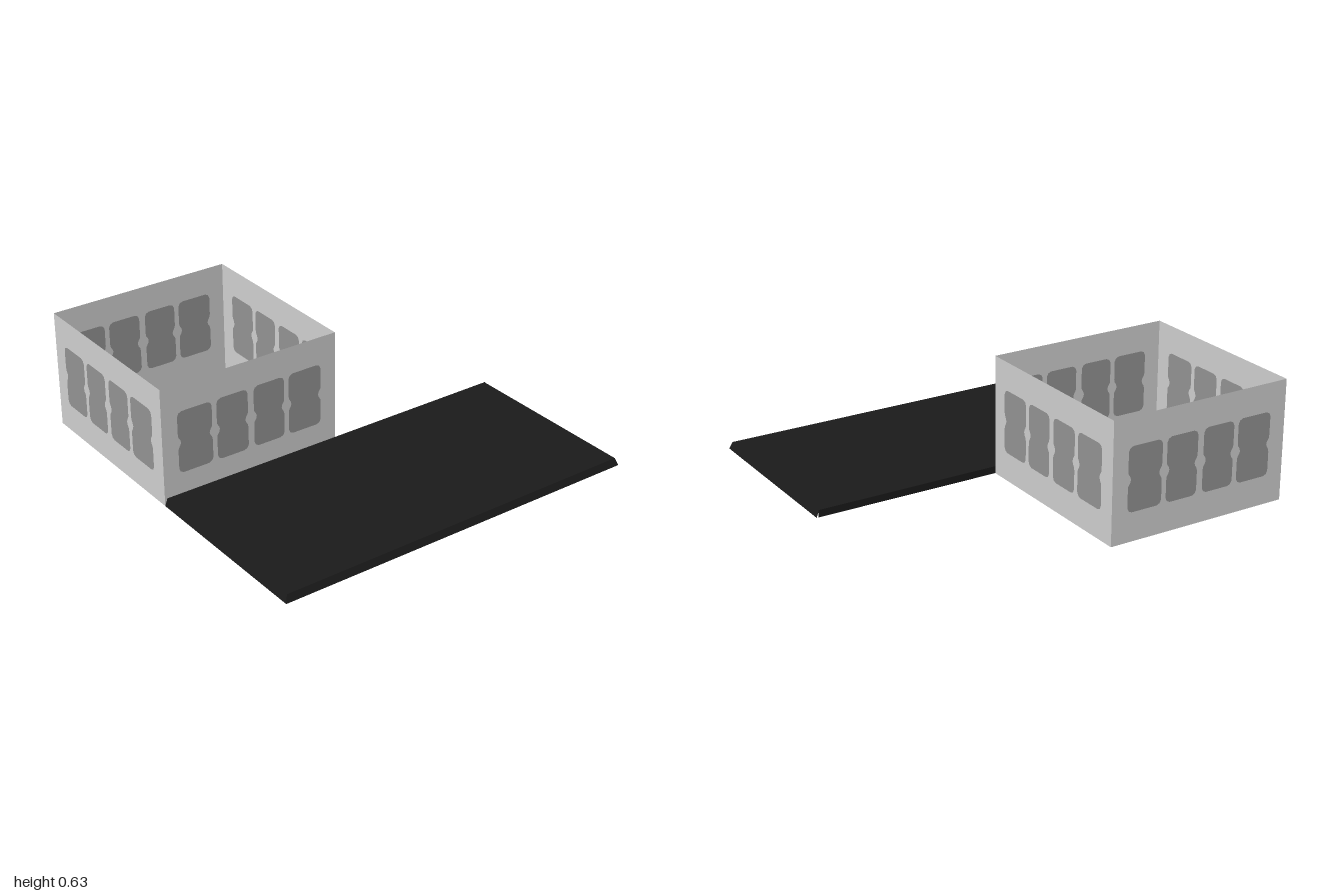
import * as THREE from 'three';

const WALL_H = 0.626, PANEL_Y = 0.314, SLAB_H = 0.038;

const wallGrey = new THREE.MeshStandardMaterial({ name: 'wall grey', color: 0xd4d4d4, side: THREE.DoubleSide });
const panelGrey = new THREE.MeshStandardMaterial({ name: 'panel grey', color: 0x979797, side: THREE.DoubleSide });
const slabBlack = new THREE.MeshStandardMaterial({ name: 'slab black', color: 0x1b1b1b, side: THREE.DoubleSide });

// Outline of one panel: rounded corners and a small notch at the waist of each side
function panelPoints(cx, halfWidth) {
  const w = halfWidth, h = 0.165;
  const quarter = [
    [w - 0.016, 0], [w - 0.012, 0.014], [w - 0.002, 0.03], [w, 0.045],
    [w, h - 0.025], [w - 0.008, h - 0.008], [w - 0.025, h],
  ];
  const half = [...quarter, ...quarter.map(([x, y]) => [-x, y]).reverse()];
  const lower = half.slice(1, -1).map(([x, y]) => [x, -y]).reverse();
  return [...half, ...lower].map(([x, y]) => new THREE.Vector2(cx + x, PANEL_Y + y));
}

// One sheet wall with four flush panels set into it
function makeWall(name) {
  const wall = new THREE.Group();
  wall.name = name;
  const sheet = new THREE.Shape([[-0.5, 0], [0.5, 0], [0.5, WALL_H], [-0.5, WALL_H]]
    .map(([x, y]) => new THREE.Vector2(x, y)));
  for (const [cx, halfWidth] of [[-0.317, 0.096], [-0.106, 0.089], [0.106, 0.089], [0.317, 0.096]]) {
    const points = panelPoints(cx, halfWidth);
    sheet.holes.push(new THREE.Path(points));
    const panel = new THREE.Mesh(new THREE.ShapeGeometry(new THREE.Shape(points)), panelGrey);
    panel.name = 'wallPanel';
    wall.add(panel);
  }
  const mesh = new THREE.Mesh(new THREE.ShapeGeometry(sheet), wallGrey);
  mesh.name = 'wallSheet';
  wall.add(mesh);
  return wall;
}

// Low slab: a shell open underneath, with three edges sloping inward
function makeSlab() {
  const slab = new THREE.Group();
  slab.name = 'slab';

  const geometry = new THREE.BoxGeometry(1, SLAB_H, 2);
  const pos = geometry.attributes.position;
  for (let i = 0; i < pos.count; i++) {
    if (pos.getY(i) < 0) continue;
    if (pos.getX(i) > 0) pos.setX(i, pos.getX(i) - 0.014);
    pos.setZ(i, pos.getZ(i) * 0.986);
  }
  // Keep the outer, top, front and back faces; leave out the inner side and the bottom
  const faces = Array.from(geometry.index.array);
  geometry.setIndex([0, 2, 4, 5].flatMap((f) => faces.slice(f * 6, f * 6 + 6)));
  geometry.clearGroups();
  geometry.computeVertexNormals();
  const shell = new THREE.Mesh(geometry, slabBlack);
  shell.name = 'slabShell';
  shell.position.set(0.5, SLAB_H / 2, 0);

  // Upright inner edge, only where no wall closes it
  const edge = new THREE.Mesh(new THREE.PlaneGeometry(0.99, SLAB_H), slabBlack);
  edge.name = 'slabInnerEdge';
  edge.rotation.y = -Math.PI / 2;
  edge.position.set(0, SLAB_H / 2, -0.495);

  slab.add(shell, edge);
  return slab;
}

export function createModel() {
  const model = new THREE.Group();
  model.name = 'walledYardWithSlab';

  // Four walls around an open square, no floor or roof
  const yard = new THREE.Group();
  yard.name = 'openBox';
  yard.position.set(-0.5, 0, 0.5);
  ['frontWall', 'leftWall', 'backWall', 'rightWall'].forEach((name, i) => {
    const wall = makeWall(name);
    const angle = i * Math.PI / 2;
    wall.rotation.y = angle;
    wall.position.set(Math.sin(angle) * 0.5, 0, Math.cos(angle) * 0.5);
    yard.add(wall);
  });

  model.add(yard, makeSlab());
  return model;
}
